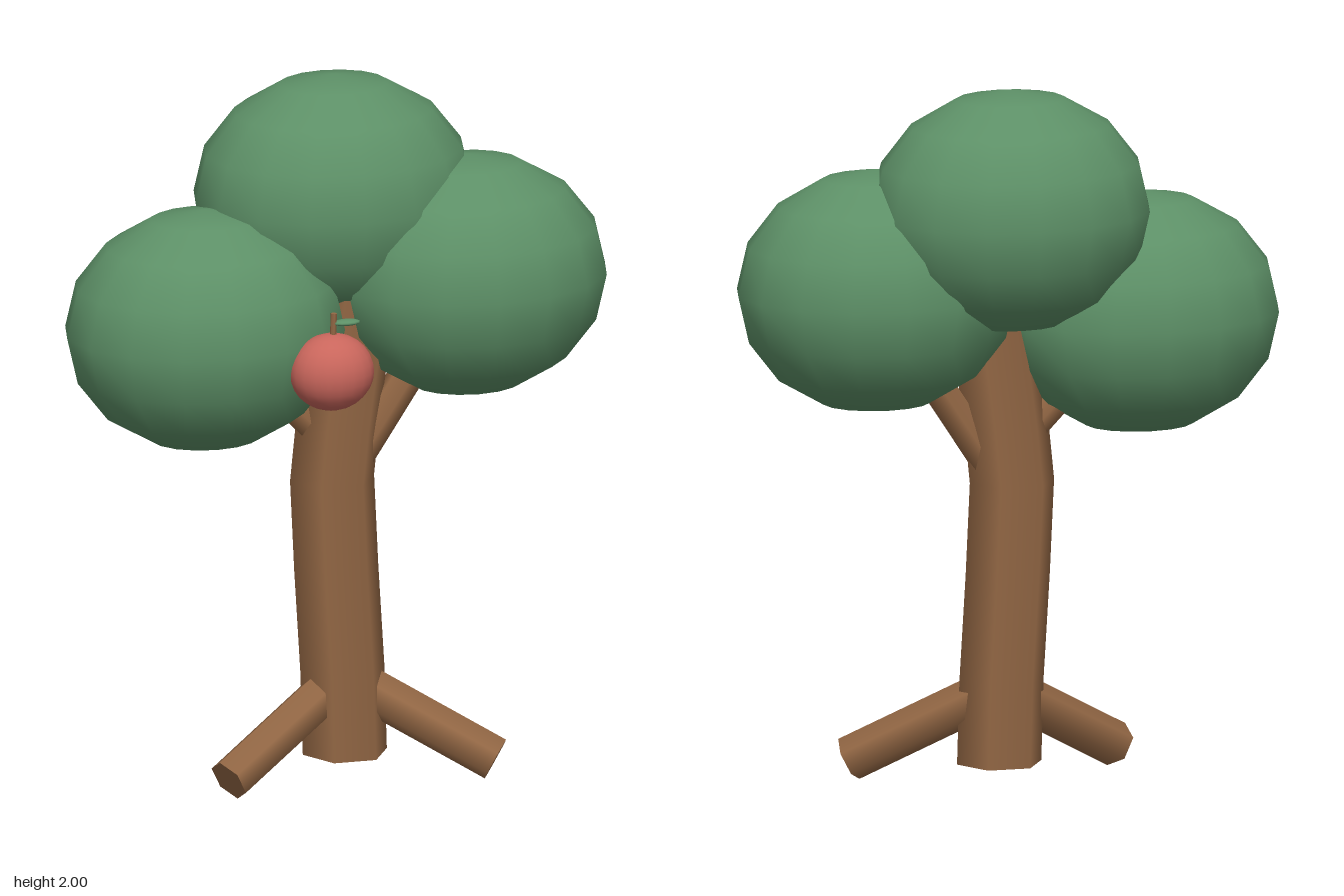
import * as THREE from 'three';

function material(name, color) {
  const m = new THREE.MeshStandardMaterial({ color });
  m.name = name;
  return m;
}

export function createModel() {
  const tree = new THREE.Group();
  tree.name = 'appleTree';
  const bark = material('bark brown', 0x946845);
  const leafGreen = material('leaf green', 0x5d9067);
  const appleRed = material('apple red', 0xc9665c);

  function add(name, geometry, mat, position = [0, 0, 0]) {
    const mesh = new THREE.Mesh(geometry, mat);
    mesh.name = name;
    mesh.position.set(...position);
    tree.add(mesh);
    return mesh;
  }

  // Squashed sphere
  function blob(name, mat, position, radii, w = 16, h = 8) {
    return add(name, new THREE.SphereGeometry(1, w, h).scale(...radii), mat, position);
  }

  // Hexagonal rod between two points
  function rod(name, from, to, radius, sides = 6) {
    const a = new THREE.Vector3(...from);
    const b = new THREE.Vector3(...to);
    const dir = b.clone().sub(a);
    const mesh = add(name, new THREE.CylinderGeometry(radius, radius, dir.length(), sides), bark);
    mesh.position.copy(a).add(b).multiplyScalar(0.5);
    mesh.quaternion.setFromUnitVectors(new THREE.Vector3(0, 1, 0), dir.normalize());
    return mesh;
  }

  // Trunk: hexagonal column whose rings follow a gentle bend
  const rings = [[0.025, 0.06], [0.018, 0.3], [0, 0.6], [-0.012, 0.86], [0.004, 1.02], [0.035, 1.25], [0.07, 1.5]];
  const trunk = new THREE.CylinderGeometry(0.122, 0.122, 1, 6, rings.length - 1).rotateY(Math.PI / 2);
  const pos = trunk.attributes.position;
  for (let i = 0; i < pos.count; i++) {
    const [x, y] = rings[Math.round((pos.getY(i) + 0.5) * (rings.length - 1))];
    pos.setX(i, pos.getX(i) + x);
    pos.setY(i, y);
  }
  add('trunk', trunk, bark, [0, 0, 0.03]);

  // Roots spread forwards on both sides
  for (const [side, s] of [['left', 1], ['right', -1]]) {
    rod(side + 'Root', [0.025 + s * 0.05, 0.25, 0.04], [0.025 + s * 0.387, 0.056, 0.205], 0.064);
  }

  // Branches up into the side crowns
  rod('leftBranch', [0.06, 0.92, 0.03], [0.32, 1.32, 0.03], 0.05);
  rod('rightBranch', [-0.03, 0.98, 0.03], [-0.32, 1.28, 0.03], 0.05);

  // Leaf crowns
  const crown = [0.4, 0.345, 0.333];
  blob('topCrown', leafGreen, [0.025, 1.655, -0.085], crown);
  blob('leftCrown', leafGreen, [0.38, 1.425, 0.028], crown);
  blob('rightCrown', leafGreen, [-0.38, 1.325, 0.028], crown);

  // Apple with stem and leaf
  blob('apple', appleRed, [-0.093, 1.255, 0.31], [0.12, 0.11, 0.1], 20, 14);
  rod('appleStem', [-0.09, 1.34, 0.31], [-0.087, 1.424, 0.31], 0.009);
  blob('appleLeaf', leafGreen, [-0.05, 1.395, 0.31], [0.04, 0.009, 0.021], 12, 8);

  return tree;
}
